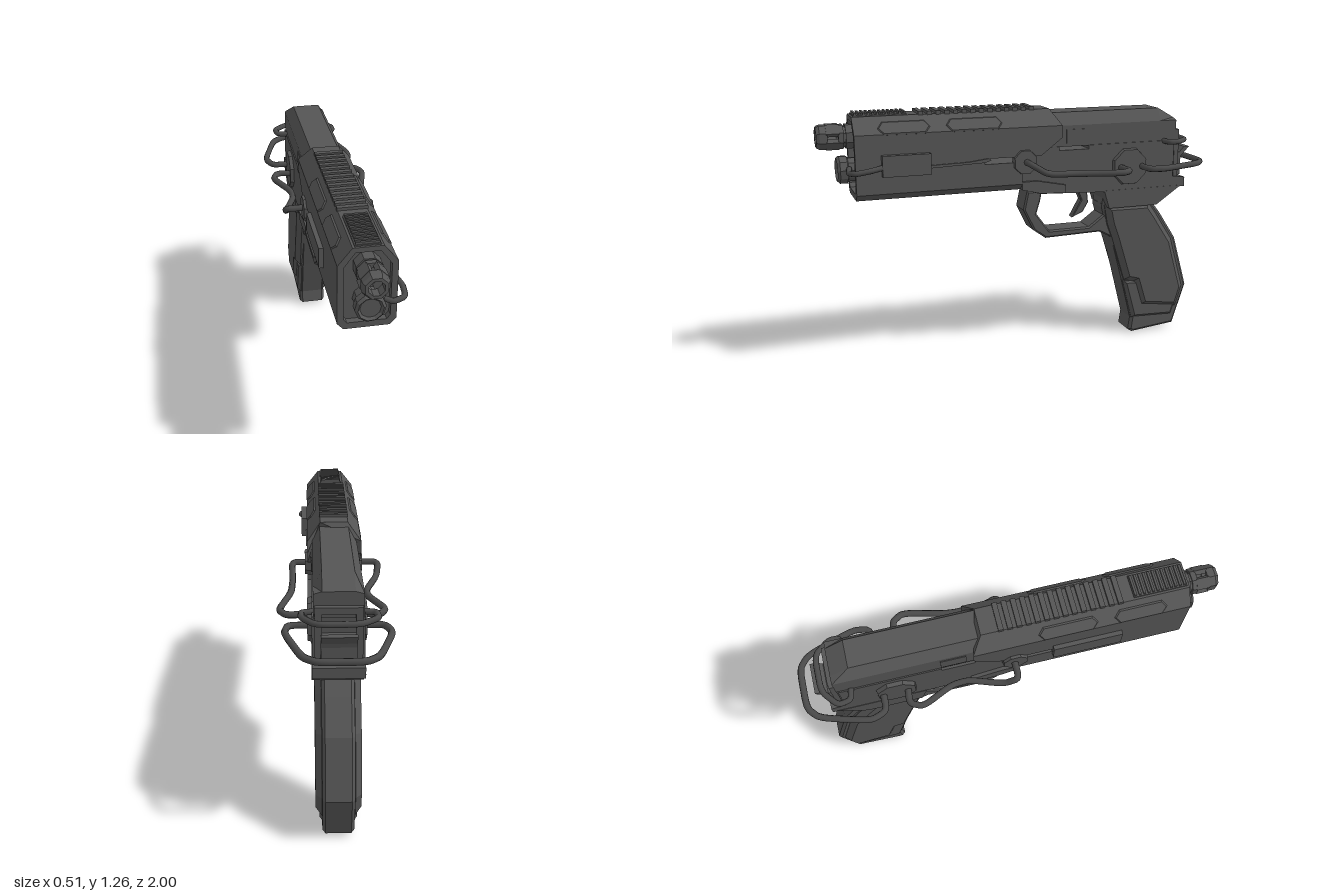
import * as THREE from 'three';

const mat = new THREE.MeshStandardMaterial({ color: 0x555555, flatShading: true });
const smooth = new THREE.MeshStandardMaterial({ color: 0x4a4a4a });
const toShape = pts => new THREE.Shape(pts.map(p => new THREE.Vector2(...p)));
const mirrorX = pts => [...pts, ...pts.map(([x, y]) => [-x, y]).reverse()];

function add(parent, name, geo, material = mat) {
  const mesh = new THREE.Mesh(geo, material);
  mesh.name = name;
  parent.add(mesh);
  return mesh;
}

// Side profile of [z, y] points, extruded across x and centred
function sideExtrude(pts, half, bevel = 0) {
  const geo = new THREE.ExtrudeGeometry(toShape(pts), {
    depth: 2 * (half - bevel), bevelEnabled: bevel > 0, bevelThickness: bevel,
    bevelSize: bevel, bevelOffset: -bevel, bevelSegments: 1,
  });
  return geo.translate(0, 0, bevel - half).rotateY(-Math.PI / 2);
}

// Cross-section of [x, y] points, extruded from z0 back to front z1
function frontExtrude(pts, z0, z1, hole, rule) {
  const shape = toShape(pts);
  if (hole) shape.holes.push(new THREE.Path(hole.map(p => new THREE.Vector2(...p))));
  const geo = new THREE.ExtrudeGeometry(shape, { depth: z1 - z0, bevelEnabled: false });
  geo.translate(0, 0, z0);
  if (rule) {
    const p = geo.attributes.position, v = new THREE.Vector3();
    for (let i = 0; i < p.count; i++) {
      rule(v.fromBufferAttribute(p, i));
      p.setXYZ(i, v.x, v.y, v.z);
    }
    geo.computeVertexNormals();
  }
  return geo;
}

function box(parent, name, x, y, z, w, h, d) {
  const mesh = add(parent, name, new THREE.BoxGeometry(w, h, d));
  mesh.position.set(x, y, z);
  return mesh;
}

function cable(parent, name, pts, r = 0.016) {
  const v = pts.map(p => new THREE.Vector3(...p));
  const path = new THREE.CurvePath();
  let last = v[0];
  // Straight runs with short rounded bends
  for (let i = 1; i < v.length - 1; i++) {
    const a = v[i].clone().lerp(v[i - 1], 0.3), b = v[i].clone().lerp(v[i + 1], 0.3);
    path.add(new THREE.LineCurve3(last, a));
    path.add(new THREE.QuadraticBezierCurve3(a, v[i], b));
    last = b;
  }
  path.add(new THREE.LineCurve3(last, v[v.length - 1]));
  add(parent, name, new THREE.TubeGeometry(path, 80, r, 8), smooth);
}

// Barrel-like part along z from [radius, z] profile
function turned(parent, name, pts, y, sides) {
  const geo = new THREE.LatheGeometry(pts.map(p => new THREE.Vector2(...p)), sides);
  geo.rotateX(Math.PI / 2).rotateZ(Math.PI / 8);
  const mesh = add(parent, name, geo, new THREE.MeshStandardMaterial({
    color: 0x555555, flatShading: true, side: THREE.DoubleSide }));
  mesh.position.y = y;
}

export function createModel() {
  const root = new THREE.Group();
  root.name = 'pistol';
  const body = new THREE.Group();
  body.name = 'body';
  body.position.x = -0.014;
  root.add(body);

  // Front housing: solid core, recessed muzzle face, split rear end
  const section = mirrorX([[0.1, 0.86], [0.127, 0.89], [0.127, 1.17], [0.065, 1.248]]);
  const recess = mirrorX([[0.085, 0.89], [0.1, 0.91], [0.1, 1.16], [0.052, 1.225]]);
  add(body, 'housing', frontExtrude(section, 0.22, 0.81));
  add(body, 'housingRim', frontExtrude(section, 0.81, 0.84, recess));
  add(body, 'lowerHousing', frontExtrude(
    mirrorX([[0.1, 0.86], [0.127, 0.89], [0.127, 1.0]]), 0.03, 0.22));
  add(body, 'upperHousing', frontExtrude(
    mirrorX([[0.127, 1.027], [0.127, 1.11], [0.127, 1.17], [0.065, 1.248]]), -0.18, 0.22, null,
    v => { if (v.z < 0) v.z = v.y > 1.2 ? -0.13 : v.y < 1.05 ? -0.07 : -0.18; }));
  box(body, 'undersideStrip', 0, 0.865, 0.43, 0.15, 0.02, 0.8);

  // Rear slide with sloping back edge
  const slide = mirrorX([[0.105, 1.06], [0.105, 1.165], [0.068, 1.227]]);
  add(body, 'slide', frontExtrude(slide, -0.73, -0.1));
  add(body, 'slideBack', frontExtrude(slide, -0.82, -0.73, null,
    v => { if (v.z < -0.8 && v.y > 1.2) v.y = 1.175; }));

  // Frame with a slit beneath the slide
  add(body, 'frame', sideExtrude([[0.03, 0.86], [-0.07, 0.83], [-0.45, 0.813], [-0.88, 0.813],
    [-0.88, 0.862], [-0.81, 0.87], [-0.81, 1.062], [-0.33, 1.062], [-0.33, 1.043], [-0.17, 1.043],
    [-0.17, 1.062], [-0.05, 1.062], [0.03, 1.0]], 0.111));
  add(body, 'frameLip', sideExtrude([[0.03, 0.86], [-0.07, 0.835], [-0.2, 0.83], [-0.2, 0.87],
    [-0.05, 0.9], [0.03, 0.9]], 0.128));

  // Top rail ribs
  for (let i = 0; i < 14; i++) box(body, 'railRib', 0, 1.25, 0.515 - i * 0.0425, 0.136, 0.024, 0.024);
  box(body, 'sightBase', 0, 1.245, 0.705, 0.11, 0.018, 0.25);
  for (let i = 0; i < 12; i++) box(body, 'sightRib', 0, 1.256, 0.82 - i * 0.021, 0.1, 0.016, 0.011);

  // Slotted muzzle: two rings joined by bars
  const ring = (a, b) => [[0.035, a], [0.06, a], [0.06, b], [0.035, b], [0.035, a]];
  turned(body, 'muzzleBase', ring(0.8, 0.865), 1.153, 8);
  turned(body, 'muzzleCollar', ring(0.865, 0.875).map(([r, z]) => [r * 0.85, z]), 1.153, 8);
  turned(body, 'muzzleRearRing', ring(0.875, 0.9), 1.153, 8);
  turned(body, 'muzzleTip', [[0.035, 0.95], [0.06, 0.95], [0.06, 0.985], [0.05, 1], [0.035, 1], [0.035, 0.95]], 1.153, 8);
  for (let i = 0; i < 4; i++) {
    const a = Math.PI / 4 + i * Math.PI / 2;
    box(body, 'muzzleBar', Math.cos(a) * 0.046, 1.153 + Math.sin(a) * 0.046, 0.925,
      0.022, 0.055, 0.06).rotation.z = a;
  }
  turned(body, 'lowerTube', [[0, 0.8], [0.058, 0.8], [0.058, 0.86], [0.067, 0.865], [0.067, 0.9],
    [0.055, 0.912], [0.045, 0.9], [0, 0.9]], 0.995, 10);

  // Fittings mirrored on both sides
  for (const s of [1, -1]) {
    for (const [z, d] of [[0.605, 0.25], [0.265, 0.28]]) {
      const h = d / 2;
      const pad = add(body, 'sidePad', sideExtrude([[-h, 0], [-h + 0.025, -0.035], [h - 0.025, -0.035],
        [h, 0], [h - 0.025, 0.035], [-h + 0.025, 0.035]], 0.014, 0.006));
      pad.position.set(s * 0.1, 1.19, z);
      pad.rotation.z = s * 0.65;
    }
    for (const [name, r, y, z, x] of [['frontCableDisc', 0.066, 1, 0.015, 0.125],
      ['rearCableDisc', 0.103, 0.94, -0.555, 0.115]]) {
      const disc = add(body, name, new THREE.CylinderGeometry(r * 0.92, r, 0.03, 8)
        .rotateY(Math.PI / 8).rotateZ(-s * Math.PI / 2));
      disc.position.set(s * x, y, z);
    }
    box(body, 'slidePanel', s * 0.105, 1.11, -0.27, 0.008, 0.07, 0.12);
    box(body, 'rearPlate', s * 0.085, 0.99, -0.83, 0.03, 0.25, 0.025);
    add(body, 'housingSeam', sideExtrude([[0.49, 1.0], [0.22, 1.01], [0.19, 1.02], [0.2, 1.03],
      [0.3, 1.018], [0.49, 1.014]], 0.008)).position.x = s * 0.127;
  }
  box(body, 'leftSideBox', -0.13, 1.02, 0.36, 0.036, 0.1, 0.33);
  box(body, 'rightSideBox', 0.14, 1.025, 0.605, 0.036, 0.1, 0.23);

  // Rear block and hammer
  box(body, 'rearBlock', 0, 0.93, -0.84, 0.15, 0.12, 0.06);
  box(body, 'rearBar', 0, 1.1, -0.83, 0.17, 0.03, 0.03);
  add(body, 'hammer', sideExtrude([[-0.81, 0.9], [-0.86, 0.91], [-0.875, 0.97], [-0.92, 1.018],
    [-0.89, 1.018], [-0.845, 0.97], [-0.81, 0.96]], 0.075));

  // Trigger guard and trigger
  add(body, 'triggerGuard', sideExtrude([[-0.02, 0.835], [0, 0.74], [-0.055, 0.63], [-0.12, 0.583],
    [-0.42, 0.59], [-0.5, 0.55], [-0.5, 0.72], [-0.43, 0.74], [-0.44, 0.68], [-0.36, 0.622],
    [-0.14, 0.622], [-0.07, 0.715], [-0.09, 0.78], [-0.1, 0.835]], 0.063, 0.008));
  add(body, 'trigger', sideExtrude([[-0.3, 0.83], [-0.33, 0.76], [-0.28, 0.67], [-0.34, 0.695],
    [-0.37, 0.745], [-0.36, 0.83]], 0.025, 0.005));

  // Grip: collar, core and raised side panels
  add(body, 'gripCollar', sideExtrude([[-0.42, 0.82], [-0.45, 0.725], [-0.72, 0.725],
    [-0.86, 0.82]], 0.113));
  add(body, 'gripCore', sideExtrude([[-0.44, 0.8], [-0.43, 0.72], [-0.46, 0.62], [-0.49, 0.555],
    [-0.555, 0.32], [-0.615, 0.09], [-0.605, 0.02], [-0.63, 0.005], [-0.875, 0.028], [-0.945, 0.245],
    [-0.865, 0.52], [-0.77, 0.665], [-0.72, 0.73], [-0.8, 0.8]], 0.072, 0.014));
  add(body, 'gripPanels', sideExtrude([[-0.44, 0.735], [-0.46, 0.63], [-0.49, 0.55],
    [-0.565, 0.315], [-0.62, 0.3], [-0.665, 0.16], [-0.88, 0.13], [-0.915, 0.245], [-0.835, 0.52],
    [-0.74, 0.665], [-0.69, 0.735]], 0.102, 0.028));
  add(body, 'gripLowerPanels', sideExtrude([[-0.56, 0.31], [-0.62, 0.09], [-0.86, 0.08],
    [-0.91, 0.24], [-0.85, 0.3]], 0.084, 0.018));

  // Side cables
  cable(root, 'leftSideCable', [[0.1, 1, 0.01], [0.19, 1, 0.01], [0.185, 0.945, -0.08],
    [0.19, 0.94, -0.24], [0.245, 0.94, -0.45], [0.21, 0.94, -0.51], [0.09, 0.94, -0.5]]);
  cable(root, 'rightSideCable', [[-0.12, 1, 0.01], [-0.235, 1, 0.01], [-0.225, 0.95, -0.06],
    [-0.165, 0.94, -0.22], [-0.17, 0.94, -0.3], [-0.24, 0.94, -0.45], [-0.21, 0.94, -0.51],
    [-0.12, 0.94, -0.5]]);

  // Rear cable loops
  cable(root, 'rearCableLoop', [[0.09, 0.94, -0.62], [0.2, 0.94, -0.62], [0.215, 0.94, -0.7],
    [0.14, 0.94, -0.93], [0.08, 0.94, -0.98], [-0.12, 0.94, -0.98], [-0.18, 0.94, -0.93],
    [-0.25, 0.94, -0.7], [-0.22, 0.94, -0.62], [-0.12, 0.94, -0.62]]);
  cable(root, 'upperRearCableLoop', [[0.08, 1.06, -0.75], [0.14, 1.06, -0.76], [0.14, 1.06, -0.81],
    [0.08, 1.06, -0.885], [-0.1, 1.06, -0.885], [-0.18, 1.06, -0.82], [-0.17, 1.06, -0.76],
    [-0.11, 1.06, -0.75]], 0.014);

  // Thin front cable from lower tube to side box
  cable(root, 'frontCable', [[0.05, 1.01, 0.86], [0.09, 0.995, 0.87], [0.145, 1.0, 0.85],
    [0.15, 1.01, 0.78], [0.13, 1.02, 0.71]], 0.013);
  return root;
}
